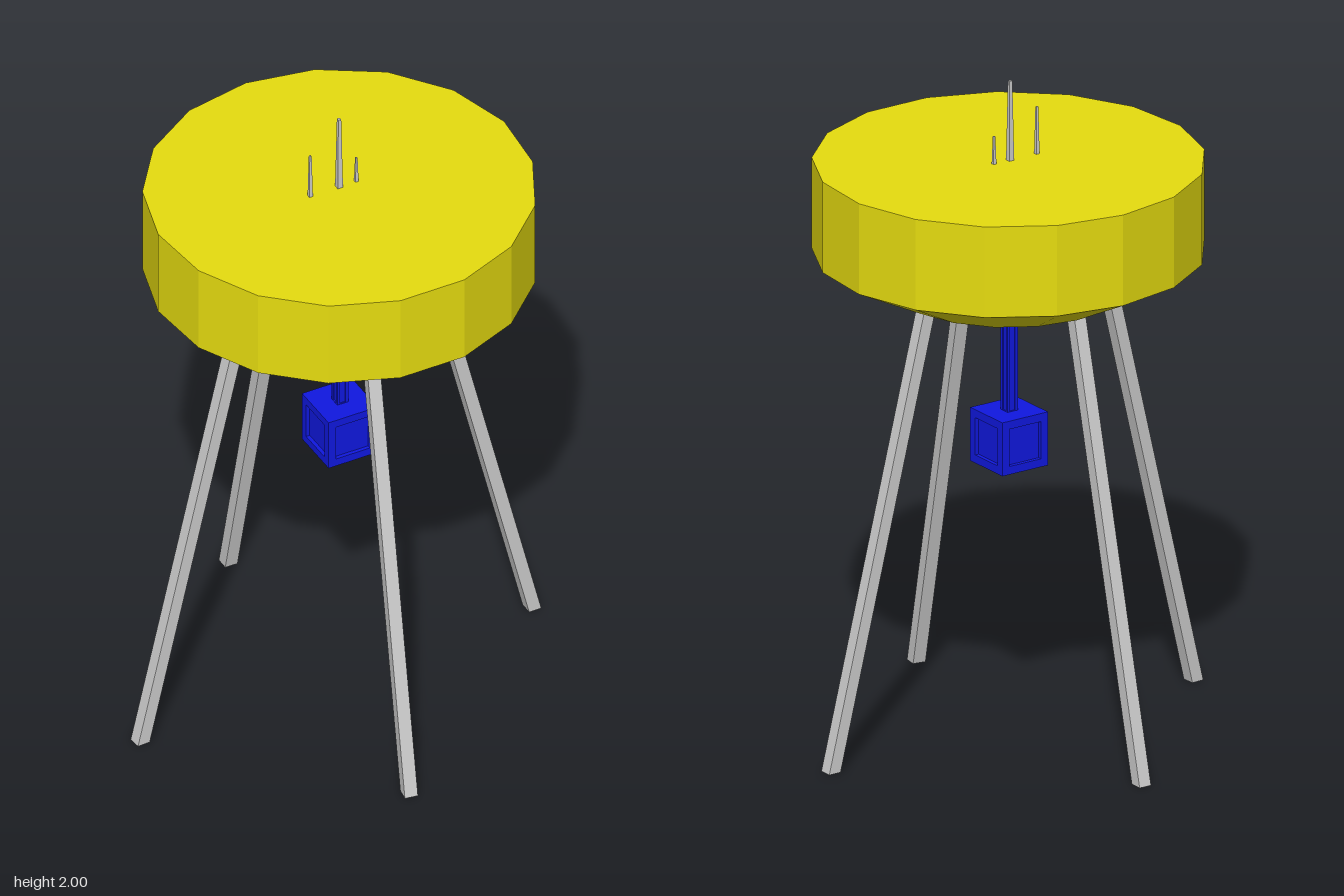
import * as THREE from 'three';

const CX = 0.015; // the body sits slightly off the middle of the legs
const mat = (color) => new THREE.MeshStandardMaterial({ color, flatShading: true });

function add(parent, name, geometry, material, x = 0, y = 0, z = 0) {
  const mesh = new THREE.Mesh(geometry, material);
  mesh.name = name;
  mesh.position.set(x, y, z);
  parent.add(mesh);
  return mesh;
}

// Square block whose four sides carry a recessed panel
function panelledBlock(name, width, height, margin, depth, material) {
  const group = new THREE.Group();
  group.name = name;
  const h = width / 2, v = height / 2;
  add(group, name + 'Core', new THREE.BoxGeometry(width - 2 * depth, height, width - 2 * depth), material);
  const frame = new THREE.Shape([
    [-h, -v], [h, -v], [h, v], [-h, v],
  ].map(([x, y]) => new THREE.Vector2(x, y)));
  frame.holes.push(new THREE.Path([
    [-h + margin, -v + margin], [-h + margin, v - margin], [h - margin, v - margin], [h - margin, -v + margin],
  ].map(([x, y]) => new THREE.Vector2(x, y))));
  const geometry = new THREE.ExtrudeGeometry(frame, { depth, bevelEnabled: false });
  geometry.translate(0, 0, h - depth);
  for (let i = 0; i < 4; i++) {
    add(group, name + 'Frame', geometry, material).rotation.y = i * Math.PI / 2;
  }
  return group;
}

// Square leg leaning from foot to top, with level ends
function legGeometry([x0, z0], [x1, z1], height) {
  const g = new THREE.BoxGeometry(0.04, height, 0.04);
  g.rotateY(Math.atan2(x0 - x1, z0 - z1));
  g.translate(0, height / 2, 0);
  const p = g.attributes.position;
  for (let i = 0; i < p.count; i++) {
    const t = p.getY(i) / height;
    p.setX(i, p.getX(i) + x0 + (x1 - x0) * t);
    p.setZ(i, p.getZ(i) + z0 + (z1 - z0) * t);
  }
  g.computeVertexNormals();
  return g;
}

export function createModel() {
  const model = new THREE.Group();
  model.name = 'buoy';
  const yellow = mat(0xe6dc0f);
  const blue = mat(0x1018e0);
  const grey = mat(0xcccccc);

  // Seventeen-sided float with a bevelled underside
  const profile = [[0, 1.36], [0.34, 1.36], [0.573, 1.475], [0.573, 1.755], [0, 1.755]]
    .map(([r, y]) => new THREE.Vector2(r, y));
  add(model, 'float', new THREE.LatheGeometry(profile, 17, Math.PI), yellow, CX);

  // Four leaning legs: foot and top as [x, z]
  const legs = {
    leftLeg: [[0.652, -0.006], [0.313, -0.006]],
    rightLeg: [[-0.655, 0.021], [-0.32, 0]],
    frontLeg: [[-0.09, 0.615], [-0.038, 0.283]],
    backLeg: [[-0.02, -0.615], [-0.024, -0.278]],
  };
  for (const [name, [foot, top]] of Object.entries(legs)) {
    add(model, name, legGeometry(foot, top, 1.365), grey);
  }

  // Hanging instrument box on its pole
  const pole = panelledBlock('pole', 0.036, 0.39, 0.009, 0.004, blue);
  pole.position.set(CX, 1.17, 0);
  const box = panelledBlock('instrumentBox', 0.162, 0.165, 0.025, 0.012, blue);
  box.position.set(CX, 0.9, 0);
  model.add(pole, box);

  // Tapered antennas on the top
  const antennas = [['tallAntenna', CX, 0.245, 0.012], ['middleAntenna', -0.08, 0.145, 0.008], ['shortAntenna', 0.072, 0.085, 0.007]];
  for (const [name, x, height, r] of antennas) {
    const g = new THREE.CylinderGeometry(r * 0.55, r, height, 4).rotateY(Math.PI / 4);
    add(model, name, g, grey, x, 1.755 + height / 2, -0.005);
  }
  return model;
}
